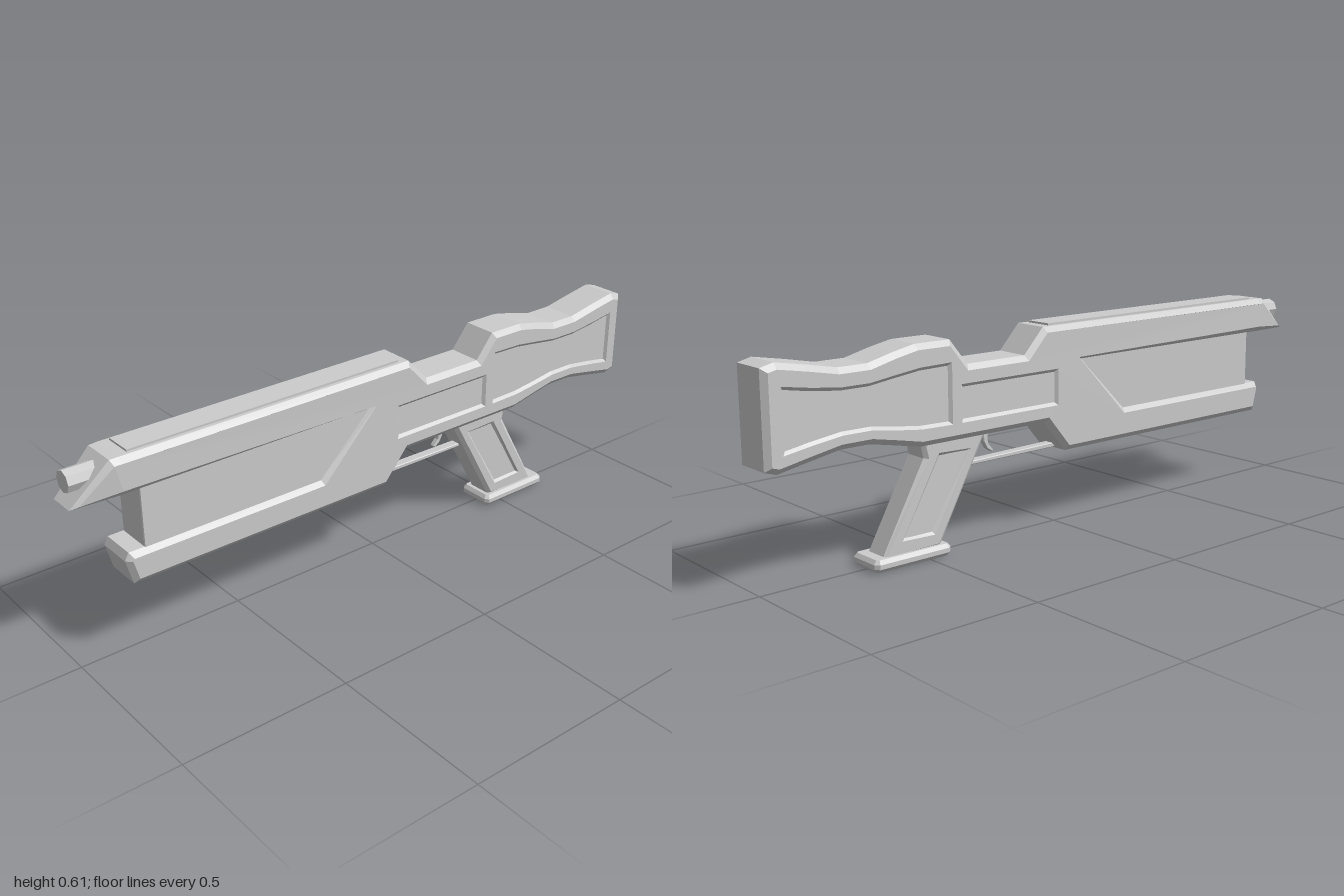
import * as THREE from 'three';

const mat = new THREE.MeshStandardMaterial({ color: 0xcccccc, flatShading: true });
const toPoints = (pts) => pts.map(([a, b]) => new THREE.Vector2(a, b));

// Side outline in (z, y), extruded symmetrically across x with chamfered edges.
// The chamfer cuts inwards, so the outline is the widest section.
function slab(pts, half, size, thick, holes = [], offset = -size) {
  const shape = new THREE.Shape(toPoints(pts));
  for (const h of holes) shape.holes.push(new THREE.Path(toPoints(h)));
  const depth = 2 * (half - thick);
  const geo = new THREE.ExtrudeGeometry(shape, {
    depth, bevelEnabled: true, bevelSegments: 1,
    bevelSize: size, bevelThickness: thick, bevelOffset: offset,
  });
  geo.translate(0, 0, -depth / 2);
  geo.rotateY(-Math.PI / 2);
  return geo;
}

// Floor of a recessed panel, slightly larger than its opening
const panelFloor = (pts, half) => slab(pts, half, 0, 0.004, [], 0.008);

export function createModel() {
  const model = new THREE.Group();
  const add = (name, geo, parent = model) => {
    const mesh = new THREE.Mesh(geo, mat);
    mesh.name = name;
    parent.add(mesh);
    return mesh;
  };

  // Main body: upper shroud, lower fore-end, receiver and stock in one outline
  const outline = [
    [1.0, 0.496], [0.885, 0.605], [0.86, 0.606], [-0.09, 0.606], [-0.16, 0.532],
    [-0.365, 0.532], [-0.425, 0.606], [-0.54, 0.606], [-0.61, 0.592], [-0.69, 0.572],
    [-0.78, 0.572], [-0.87, 0.59], [-0.96, 0.606], [-1.0, 0.596],
    [-1.0, 0.335], [-0.965, 0.324], [-0.87, 0.342], [-0.78, 0.358], [-0.69, 0.358],
    [-0.61, 0.342], [-0.53, 0.325], [-0.085, 0.325], [-0.005, 0.23],
    [0.85, 0.23], [0.87, 0.305], [0.858, 0.327],
    [0.235, 0.327], [0.06, 0.497], [0.86, 0.498],
  ];
  const receiverPanel = [[-0.058, 0.389], [-0.38, 0.389], [-0.38, 0.465], [-0.058, 0.465]];
  const stockPanel = [
    [-0.443, 0.529], [-0.53, 0.527], [-0.61, 0.517], [-0.69, 0.506], [-0.78, 0.506], [-0.87, 0.517],
    [-0.937, 0.529], [-0.937, 0.389], [-0.87, 0.401], [-0.78, 0.413], [-0.69, 0.413], [-0.61, 0.401],
    [-0.53, 0.391], [-0.443, 0.389],
  ];
  const body = slab(outline, 0.068, 0.016, 0.014, [receiverPanel, stockPanel]);

  // Narrow the nose towards its tip
  const p = body.attributes.position;
  for (let i = 0; i < p.count; i++) {
    const z = p.getZ(i);
    if (z > 0.87 && p.getY(i) > 0.45) p.setX(i, p.getX(i) * (1 - 2 * (z - 0.87)));
  }
  body.computeVertexNormals();
  add('body', body);
  add('receiverPanel', panelFloor(receiverPanel, 0.06));
  add('stockPanel', panelFloor(stockPanel, 0.06));

  // Set-back wall between shroud and fore-end
  add('innerHousing', slab([[0.81, 0.3], [0.81, 0.52], [0.0, 0.52], [0.0, 0.3]], 0.0555, 0.002, 0.003));

  // Raised strip along the top
  const strip = new THREE.BoxGeometry(0.086, 0.02, 0.89);
  strip.translate(0, 0.602, 0.385);
  add('topStrip', strip);

  // Muzzle
  const barrel = new THREE.CylinderGeometry(0.032, 0.032, 0.16, 8);
  barrel.rotateX(Math.PI / 2);
  barrel.translate(0, 0.558, 0.91);
  add('barrel', barrel);

  // Grip with recessed sides and a chamfered foot
  const grip = new THREE.Group();
  grip.name = 'grip';
  model.add(grip);
  const gripPanel = [[-0.362, 0.282], [-0.452, 0.282], [-0.572, 0.077], [-0.484, 0.077]];
  add('gripBody', slab(
    [[-0.283, 0.345], [-0.518, 0.345], [-0.505, 0.285], [-0.65, 0.025], [-0.457, 0.025], [-0.292, 0.325]],
    0.044, 0.012, 0.01, [gripPanel]), grip);
  add('gripPanel', panelFloor(gripPanel, 0.037), grip);

  const w = 0.061, l = 0.127, c = 0.012;
  const foot = new THREE.ExtrudeGeometry(new THREE.Shape(toPoints([
    [-w + c, -l], [w - c, -l], [w, -l + c], [w, l - c],
    [w - c, l], [-w + c, l], [-w, l - c], [-w, -l + c],
  ])), { depth: 0.013, bevelSegments: 1, bevelSize: 0.009, bevelThickness: 0.011, bevelOffset: -0.009 });
  foot.rotateX(-Math.PI / 2);
  foot.translate(0, 0.011, -0.557);
  add('gripFoot', foot, grip);

  // Trigger and its guard
  add('triggerGuard', slab([[0.0, 0.234], [0.0, 0.248], [-0.37, 0.242], [-0.37, 0.232]], 0.015, 0.002, 0.002));
  add('trigger', slab([
    [-0.252, 0.335], [-0.26, 0.3], [-0.256, 0.28], [-0.24, 0.262], [-0.243, 0.256],
    [-0.262, 0.268], [-0.274, 0.29], [-0.276, 0.335],
  ], 0.009, 0.002, 0.002));

  return model;
}
